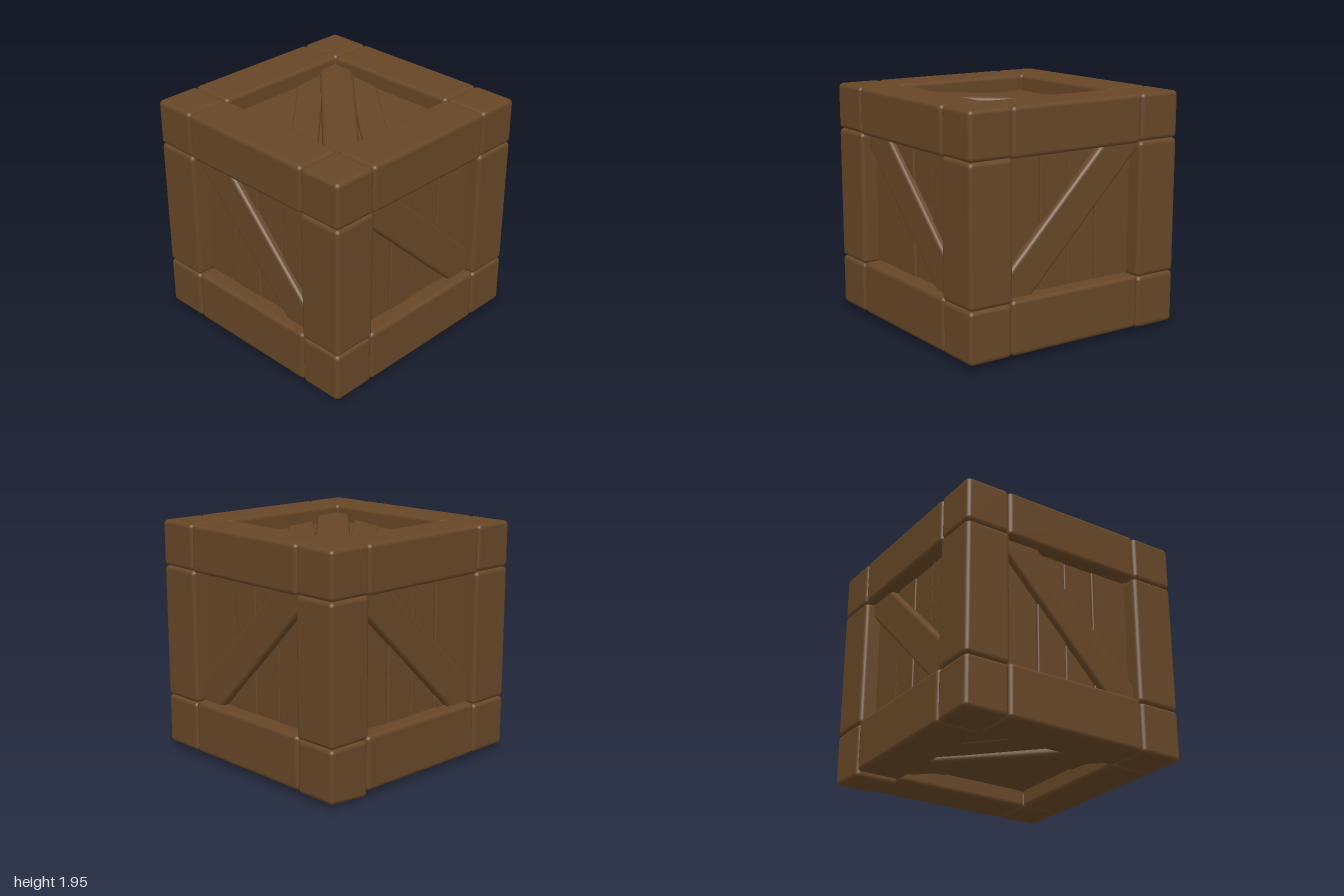
import * as THREE from 'three';
import { RoundedBoxGeometry } from 'three/addons/geometries/RoundedBoxGeometry.js';

const wood = new THREE.MeshStandardMaterial({ color: 0x664626 });
wood.name = 'brown wood';

const BOTTOM = 0.04, TOP = 1.95, MID = (BOTTOM + TOP) / 2;

// Softly worn wooden block
function block(parent, name, size, pos, radius = 0.035, angle = 0) {
  const mesh = new THREE.Mesh(new RoundedBoxGeometry(...size, 2, radius), wood);
  mesh.name = name;
  mesh.position.set(...pos);
  mesh.rotation.z = THREE.MathUtils.degToRad(angle);
  parent.add(mesh);
  return mesh;
}

// Face group: local x is right, y is up, z points out of the crate
function faceGroup(name, position, rx, ry) {
  const group = new THREE.Group();
  group.name = name;
  group.position.set(...position);
  group.rotation.set(rx, ry, 0);
  return group;
}

// Upright boards with seams, crossed by a diagonal brace
function sidePanel(name, ry, angle) {
  const g = faceGroup(name, [0, 0, 0], 0, ry);
  const seams = [-0.7, -0.27, 0, 0.27, 0.7];
  for (let i = 0; i < 4; i++) {
    const w = seams[i + 1] - seams[i];
    const out = 0.86 + (i % 2 ? 0.008 : 0);
    block(g, 'board', [w - 0.004, 1.3, 0.1], [seams[i] + w / 2, 1.02, out - 0.05], 0.012);
  }
  block(g, 'diagonalBrace', [2, 0.3, 0.14], [0, 1.06, 0.85], 0.03, angle);
  return g;
}

// Lid or base: slanted boards beside a diagonal brace
function flatPanel(name, y, rx, angle) {
  const g = faceGroup(name, [0, y, 0], rx, 0);
  block(g, 'panelSheet', [1.4, 1.4, 0.1], [0, 0, -0.19], 0.01);
  block(g, 'diagonalBrace', [2, 0.28, 0.14], [0, 0.03, -0.14], 0.035, angle);
  const normal = THREE.MathUtils.degToRad(angle + 90);
  for (const d of [-0.23, 0.27]) {
    const slat = block(g, 'slantedBoard', [1.5, 0.22, 0.08],
      [Math.cos(normal) * d, Math.sin(normal) * d, -0.16], 0.02, angle + (d > 0 ? 3 : -3));
    slat.rotateX(d > 0 ? -0.08 : 0.08);
  }
  return g;
}

export function createModel() {
  const crate = new THREE.Group();
  crate.name = 'woodenCrate';

  // Inner core behind the boards
  block(crate, 'core', [1.64, 1.52, 1.64], [0, MID, 0], 0.01);

  for (const sx of [-1, 1]) {
    for (const sz of [-1, 1]) {
      // Corner blocks and posts
      block(crate, 'topCorner', [0.38, 0.38, 0.38], [sx * 0.81, 1.76, sz * 0.81]);
      const foot = block(crate, 'bottomCorner', [0.38, 0.42, 0.38], [sx * 0.81, 0.25, sz * 0.81]);
      block(crate, 'cornerPost', [0.39, 1.11, 0.39], [sx * 0.805, 1.015, sz * 0.805]);

      // One foot sags lower than the others
      if (sx < 0 && sz < 0) {
        const p = foot.geometry.attributes.position;
        for (let i = 0; i < p.count; i++) {
          if (p.getY(i) < -0.17) {
            p.setY(i, p.getY(i) - 0.01 - 0.03 * (p.getZ(i) + 0.19) / 0.38);
          }
        }
        foot.geometry.computeBoundingSphere();
      }
    }
    // Rails along both directions, top and bottom
    for (const [name, y, h] of [['topRail', 1.755, 0.39], ['bottomRail', 0.26, 0.44]]) {
      block(crate, name, [1.24, h, 0.39], [0, y, sx * 0.805]);
      block(crate, name, [0.39, h, 1.24], [sx * 0.805, y, 0]);
    }
  }

  // Recessed panels
  crate.add(
    sidePanel('frontPanel', 0, -46),
    sidePanel('leftPanel', Math.PI / 2, -43.5),
    sidePanel('backPanel', Math.PI, 45),
    sidePanel('rightPanel', -Math.PI / 2, -43.5),
    flatPanel('topPanel', TOP, -Math.PI / 2, -44),
    flatPanel('bottomPanel', BOTTOM, Math.PI / 2, 44),
  );
  return crate;
}
